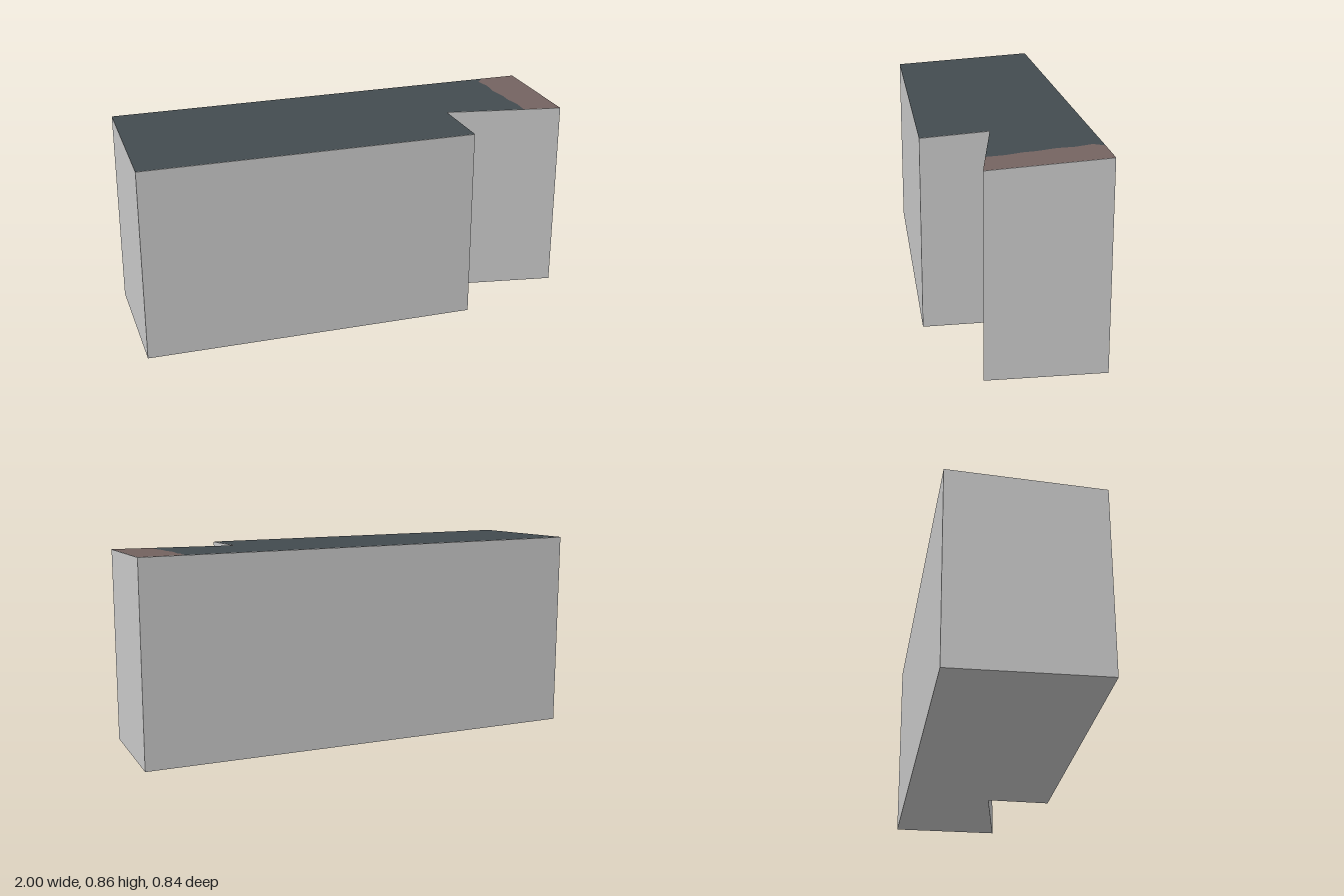
import * as THREE from 'three';

const wallPaint = new THREE.MeshStandardMaterial({ color: 0xcacaca });
wallPaint.name = 'light grey walls';
const slate = new THREE.MeshStandardMaterial({ color: 0x434b4f });
slate.name = 'dark slate roof';
const rust = new THREE.MeshStandardMaterial({ color: 0x746360 });
rust.name = 'brown roof';

// Gently sloping roof plane
const roofHeight = (x, z) => 0.835 + 0.0162 * x - 0.059 * z;

// Plan outline given as [x, z] pairs
const planShape = (points) => new THREE.Shape(points.map(([x, z]) => new THREE.Vector2(x, -z)));

// Lifts every vertex above the ground onto the roof plane
function liftToRoof(geometry, isTop, offset = 0) {
  geometry.rotateX(-Math.PI / 2);
  const p = geometry.attributes.position;
  for (let i = 0; i < p.count; i++) {
    if (isTop(p.getY(i))) p.setY(i, roofHeight(p.getX(i), p.getZ(i)) + offset);
  }
  geometry.computeVertexNormals();
  return geometry;
}

function roofSheet(name, points, material) {
  const geometry = liftToRoof(new THREE.ShapeGeometry(planShape(points)), () => true, 0.001);
  const mesh = new THREE.Mesh(geometry, material);
  mesh.name = name;
  return mesh;
}

export function createModel() {
  const group = new THREE.Group();
  group.name = 'building';

  const frontLeft = [[-1, 0.22], [0.41, 0.416], [0.441, 0.135]];
  const wingFront = [0.935, 0.294];
  const wingBack = [1, -0.185];
  const backCorner = [-0.91, -0.42];

  // Ragged line where the two roof colours meet, front to back
  const seam = [
    [0.775, 0.243], [0.787, 0.17], [0.783, 0.1], [0.791, 0.05],
    [0.788, -0.03], [0.804, -0.1], [0.8, -0.17], [0.84, -0.205],
  ];

  // Walls and floor
  const bodyShape = planShape([...frontLeft, wingFront, wingBack, backCorner]);
  const bodyGeometry = new THREE.ExtrudeGeometry(bodyShape, { depth: 1, bevelEnabled: false });
  const walls = new THREE.Mesh(liftToRoof(bodyGeometry, (y) => y > 0.5), wallPaint);
  walls.name = 'walls';
  group.add(walls);

  // Roof in two colours
  group.add(roofSheet('mainRoof', [...frontLeft, ...seam, backCorner], slate));
  group.add(roofSheet('endRoof', [wingFront, wingBack, ...[...seam].reverse()], rust));

  return group;
}
